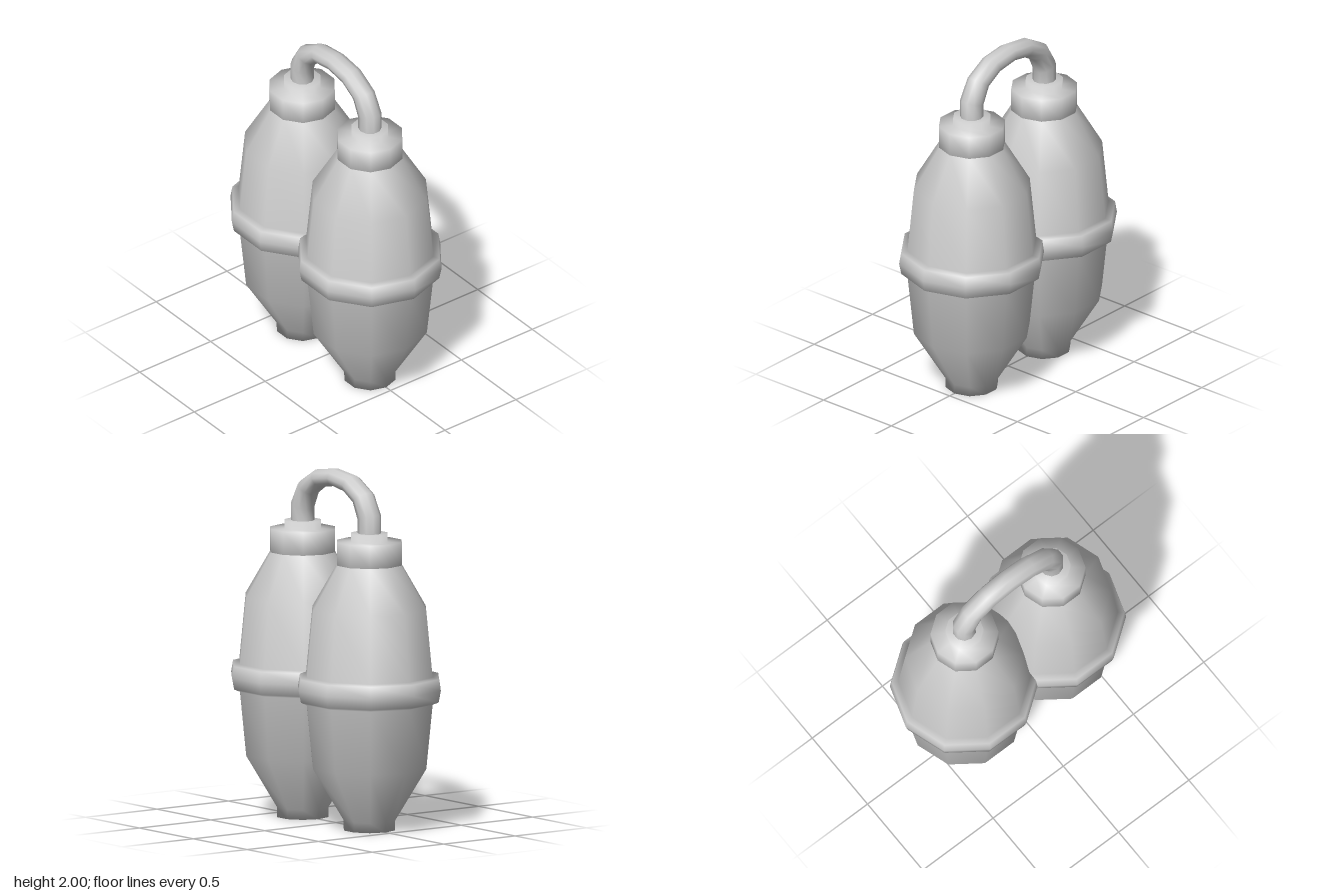
import * as THREE from 'three';

const SIDES = 10;
const TANK_X = 0.31;
const material = new THREE.MeshStandardMaterial({ color: 0xcccccc });

// Smooth ten-sided turned part with a corner pointing along x
function turned(name, profile) {
  const points = profile.map(([r, y]) => new THREE.Vector2(r, y));
  const mesh = new THREE.Mesh(new THREE.LatheGeometry(points, SIDES, Math.PI / 2), material);
  mesh.name = name;
  return mesh;
}

// One tank: shell with foot and middle band, then cap with hose collar
function createTank(name, x) {
  const tank = new THREE.Group();
  tank.name = name;
  tank.add(
    turned('shell', [
      [0, 0], [0.15, 0], [0.15, 0.055], [0.333, 0.355], [0.37, 0.72],
      [0.405, 0.735], [0.418, 0.8], [0.407, 0.865], [0.37, 0.875],
      [0.333, 1.25], [0.186, 1.5],
    ]),
    turned('cap', [
      [0.15, 1.5], [0.19, 1.5], [0.19, 1.63], [0.107, 1.63], [0.107, 1.675], [0, 1.675],
    ]),
  );
  tank.position.x = x;
  return tank;
}

// Arched hose, lofted between outer and inner points of each cross-section
function createHose() {
  const half = [
    [0.374, 1.66, 0.246, 1.66],
    [0.374, 1.78, 0.247, 1.74],
    [0.303, 1.9, 0.207, 1.832],
    [0.162, 1.98, 0.121, 1.885],
  ];
  const mirrored = half.map(([a, b, c, d]) => [-a, b, -c, d]).reverse();
  const sections = [...half, [0, 2, 0, 1.905], ...mirrored];
  const depth = 0.065;
  const flat = Math.cos(Math.PI / SIDES);
  const positions = [];
  const indices = [];
  sections.forEach(([ox, oy, ix, iy], s) => {
    for (let i = 0; i < SIDES; i++) {
      const a = ((i + 0.5) / SIDES) * Math.PI * 2;
      const t = Math.cos(a) / flat / 2;
      positions.push(
        (ox + ix) / 2 + (ox - ix) * t,
        (oy + iy) / 2 + (oy - iy) * t,
        Math.sin(a) * depth,
      );
      if (s === 0) continue;
      const j = (i + 1) % SIDES;
      const p = (s - 1) * SIDES;
      const q = s * SIDES;
      indices.push(p + i, q + i, q + j, p + i, q + j, p + j);
    }
  });
  const geometry = new THREE.BufferGeometry();
  geometry.setAttribute('position', new THREE.Float32BufferAttribute(positions, 3));
  geometry.setIndex(indices);
  geometry.computeVertexNormals();
  const hose = new THREE.Mesh(geometry, material);
  hose.name = 'hose';
  return hose;
}

export function createModel() {
  const model = new THREE.Group();
  model.name = 'twinTanks';
  model.add(createTank('leftTank', TANK_X), createTank('rightTank', -TANK_X), createHose());
  return model;
}
